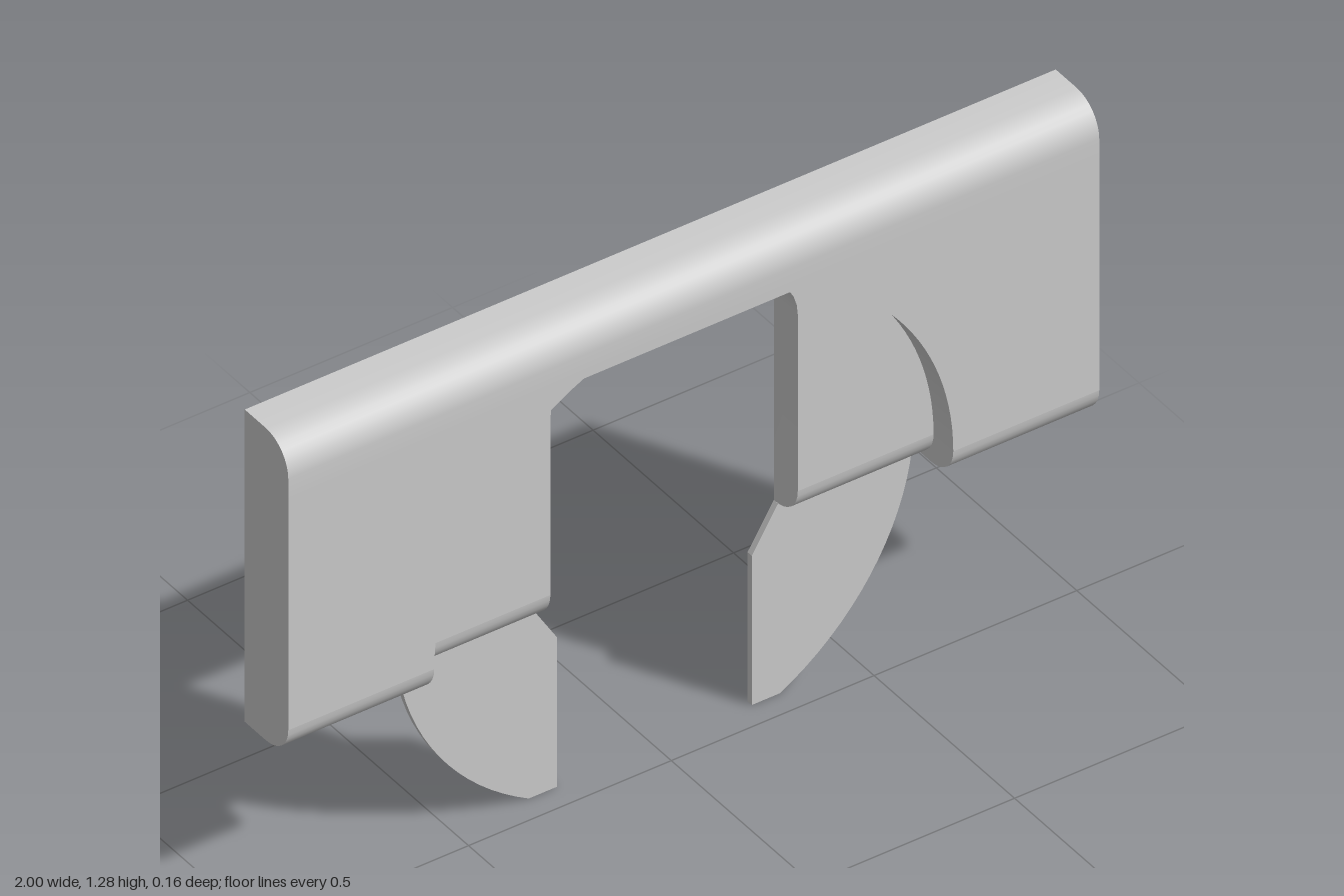
import * as THREE from 'three';
import { toCreasedNormals } from 'three/addons/utils/BufferGeometryUtils.js';

const BACK = -0.075, FRONT = 0.08, RECESS = 0.01, TANG = -0.06;
const BOTTOM = 0.485, TOP = 1.28, ARCH = 1.14, CY = 0.56, R = 0.64, GAP = 0.305;
const ROUND = 0.08;

const material = new THREE.MeshStandardMaterial({ color: 0xcccccc });

// Points along an elliptical arc
function arc(cx, cy, rx, ry, a0, a1, n) {
  return Array.from({ length: n + 1 }, (_, i) => {
    const a = a0 + (a1 - a0) * i / n;
    return [cx + rx * Math.cos(a), cy + ry * Math.sin(a)];
  });
}

function extrude(points, depth) {
  const shape = new THREE.Shape(points.map(([x, y]) => new THREE.Vector2(x, y)));
  return new THREE.ExtrudeGeometry(shape, { depth, bevelEnabled: false });
}

function mesh(name, geometry) {
  const m = new THREE.Mesh(toCreasedNormals(geometry, 0.5), material);
  m.name = name;
  return m;
}

// Plate outlined in x/y, from z0 to z1
function plate(name, points, z0, z1) {
  return mesh(name, extrude(points, z1 - z0).translate(0, 0, z0));
}

// Bar with a z/y cross-section, from x0 to x1
function bar(name, section, x0, x1) {
  const points = section.map(([z, y]) => [-z, y]);
  return mesh(name, extrude(points, x1 - x0).rotateY(Math.PI / 2).translate(x0, 0, 0));
}

// Cross-section of a lower lip whose front bottom edge is rounded
function lipSection(front) {
  return [[BACK, CY], [BACK, BOTTOM],
    ...arc(front - ROUND, CY, ROUND, CY - BOTTOM, -Math.PI / 2, 0, 8)];
}

export function createModel() {
  const model = new THREE.Group();
  model.name = 'slottedBracket';

  // Full-width rail with a rounded front top edge
  model.add(bar('topRail', [[BACK, ARCH], [FRONT, ARCH],
    ...arc(FRONT - ROUND, TOP - ROUND, ROUND, ROUND, 0, Math.PI / 2, 8),
    [BACK, TOP]], -1, 1));

  const archAngle = Math.asin((ARCH - CY) / R);
  const rim = arc(0, CY, R, R, 0, archAngle, 24);
  const slotCorner = arc(0.17, 1.01, GAP - 0.17, ARCH - 1.01, Math.PI / 2, 0, 8);

  for (const [side, s] of [['left', 1], ['right', -1]]) {
    const half = new THREE.Group();
    half.name = side + 'Half';
    const flip = (points) => points.map(([x, y]) => [s * x, y]);
    const span = (a, b) => (s > 0 ? [a, b] : [-b, -a]);

    // Thick outer cheek around the circular recess
    half.add(plate(side + 'Cheek', flip([...rim, [1, ARCH], [1, CY]]), BACK, FRONT));

    // Recess floor beside the slot
    half.add(plate(side + 'RecessFloor', flip([...rim, ...slotCorner, [GAP, CY]]), BACK, RECESS));

    // Rounded lower lips of cheek and recess
    half.add(bar(side + 'CheekLip', lipSection(FRONT), ...span(R, 1)));
    half.add(bar(side + 'RecessLip', lipSection(RECESS), ...span(GAP, R)));

    // Thin curved tang hanging below
    const tangRim = arc(0, CY, R, R, -Math.asin(CY / R), -Math.asin((CY - BOTTOM) / R), 16);
    half.add(plate(side + 'Tang',
      flip([[0.24, 0], ...tangRim, [GAP, BOTTOM], [0.24, 0.38]]), BACK, TANG));

    model.add(half);
  }
  return model;
}
